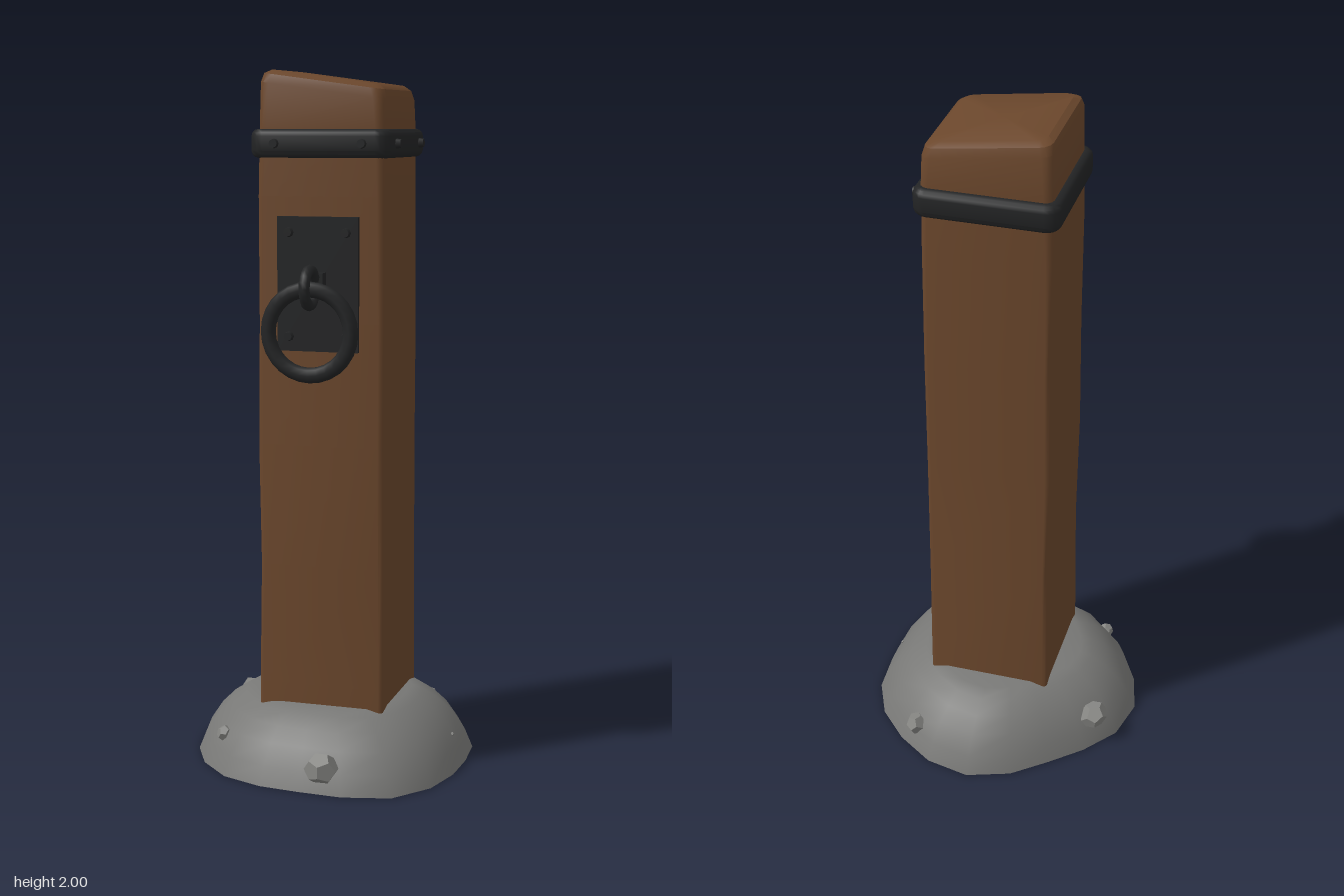
import * as THREE from 'three';
import { toCreasedNormals } from 'three/addons/utils/BufferGeometryUtils.js';

// Skin a stack of closed rings (each a list of [x, y, z]) and cap both ends
function loft(rings, crease) {
  const n = rings[0].length;
  const pos = rings.flat(2);
  const index = [];
  for (let k = 0; k < rings.length - 1; k++) {
    for (let i = 0; i < n; i++) {
      const j = (i + 1) % n;
      const a = k * n + i, b = k * n + j;
      index.push(a, a + n, b, b, a + n, b + n);
    }
  }
  const cap = (k, up) => {
    const centre = pos.length / 3;
    const sum = [0, 1, 2].map(c => rings[k].reduce((s, p) => s + p[c], 0) / n);
    pos.push(...sum);
    for (let i = 0; i < n; i++) {
      const a = k * n + i, b = k * n + (i + 1) % n;
      index.push(centre, up ? b : a, up ? a : b);
    }
  };
  cap(0, false);
  cap(rings.length - 1, true);
  const g = new THREE.BufferGeometry();
  g.setAttribute('position', new THREE.Float32BufferAttribute(pos, 3));
  g.setIndex(index);
  return toCreasedNormals(g, crease);
}

// Rounded rectangle in plan, as [x, z] pairs
function roundRect(cx, cz, hx, hz, r, steps = 3) {
  const pts = [];
  [[1, 1], [-1, 1], [-1, -1], [1, -1]].forEach(([sx, sz], q) => {
    for (let s = 0; s <= steps; s++) {
      const a = (q + s / steps) * Math.PI / 2;
      pts.push([cx + sx * (hx - r) + r * Math.cos(a), cz + sz * (hz - r) + r * Math.sin(a)]);
    }
  });
  return pts;
}

export function createModel() {
  const group = new THREE.Group();
  const material = (name, color) => {
    const m = new THREE.MeshStandardMaterial({ color });
    m.name = name;
    return m;
  };
  const wood = material('brown wood', 0x6b472c);
  const iron = material('black iron', 0x232425);
  const stone = material('grey stone', 0x787876);
  const pebble = material('light stone', 0x868683);
  pebble.flatShading = true;

  const add = (name, geometry, mat, x = 0, y = 0, z = 0) => {
    const mesh = new THREE.Mesh(geometry, mat);
    mesh.name = name;
    mesh.position.set(x, y, z);
    group.add(mesh);
    return mesh;
  };

  // Stone mound: an irregular footprint shrinking towards a flat top
  const footprint = [
    [0.017, -0.428], [0.148, -0.4], [0.26, -0.325], [0.349, -0.23], [0.4, -0.115],
    [0.408, 0.01], [0.4, 0.135], [0.365, 0.26], [0.279, 0.368], [0.143, 0.402],
    [0.017, 0.397], [-0.103, 0.386], [-0.225, 0.341], [-0.32, 0.25], [-0.38, 0.137],
    [-0.41, 0.01], [-0.38, -0.122], [-0.3, -0.224], [-0.209, -0.305], [-0.11, -0.385],
  ];
  const moundLevels = [[0, 1], [0.055, 0.945], [0.11, 0.855], [0.15, 0.755], [0.18, 0.645], [0.193, 0.56], [0.193, 0.3]];
  const mound = moundLevels.map(([y, s]) => footprint.map(([x, z]) => [x * s, y, z * s]));
  add('stoneMound', loft(mound, 0.75), stone);

  // Pebbles embedded in the mound
  [
    [0.08, 0.07, 0.382, 0.05], [0.21, 0.07, -0.322, 0.036], [-0.315, 0.095, -0.16, 0.045],
    [-0.26, 0.095, 0.245, 0.024], [0.37, 0.08, 0.02, 0.006],
  ].forEach(([x, y, z, r], i) => {
    const p = add('pebble', new THREE.DodecahedronGeometry(r), pebble, x, y, z);
    p.rotation.set(i * 0.7, i * 1.3, i * 0.4);
    p.scale.set(1, 0.92, 0.85);
  });

  // Slightly uneven wooden post with a slanting, bevelled top
  const slant = x => -0.135 * (x + 0.165);
  const levels = [
    // height, inset, corner radius, x shift, z shift
    [-0.001, 0, 0.012, 0, 0], [0.25, 0, 0.012, 0, 0], [0.6, 0.003, 0.013, 0.002, 0.001],
    [0.95, 0.001, 0.014, -0.001, 0.002], [1.3, 0.002, 0.015, 0.001, 0.001],
    [1.65, 0.002, 0.018, -0.001, 0], [1.84, 0.003, 0.025, 0, 0],
    [1.965, 0.005, 0.03, 0, 0], [1.99, 0.012, 0.032, 0, 0], [2.002, 0.03, 0.03, 0, 0],
  ];
  const post = levels.map(([y, inset, r, dx, dz], k) =>
    roundRect(0.02 + dx, 0.014 + dz, 0.185 - inset, 0.187 - inset, r)
      .map(([x, z]) => [x, k > 6 ? y + slant(x) : y, z]));
  add('post', loft(post, 0.6), wood);

  // Iron band with rounded edges
  const outline = (hx, hz, r) => roundRect(0.018, -0.01, hx, hz, r, 4).map(p => new THREE.Vector2(...p));
  const bandShape = new THREE.Shape(outline(0.183, 0.185, 0.022));
  bandShape.holes.push(new THREE.Path(outline(0.155, 0.155, 0.02).reverse()));
  const band = new THREE.ExtrudeGeometry(bandShape, {
    depth: 0.04, bevelThickness: 0.02, bevelSize: 0.02, bevelSegments: 3, steps: 1,
  });
  band.rotateX(-Math.PI / 2);
  add('band', toCreasedNormals(band, 0.7), iron, 0, 1.775, 0);

  // Rivets: two each on the front and left of the band, four on the plate
  const frontRivet = new THREE.CylinderGeometry(0.012, 0.015, 0.024, 8).rotateX(Math.PI / 2);
  const sideRivet = new THREE.CylinderGeometry(0.012, 0.015, 0.024, 8).rotateZ(-Math.PI / 2);
  for (const x of [-0.107, 0.145]) add('bandRivet', frontRivet, iron, x, 1.795, 0.216);
  for (const z of [-0.115, 0.135]) add('bandRivet', sideRivet, iron, 0.223, 1.795, z);
  for (const x of [-0.066, 0.1])
    for (const y of [1.262, 1.552]) add('plateRivet', frontRivet, iron, x, y, 0.216);

  // Backing plate, shank, eye and hanging ring
  add('plate', new THREE.BoxGeometry(0.235, 0.375, 0.02), iron, 0.017, 1.408, 0.202);
  add('shank', new THREE.BoxGeometry(0.05, 0.075, 0.045), iron, 0.017, 1.405, 0.222);
  add('eye', new THREE.TorusGeometry(0.048, 0.016, 8, 20).rotateY(Math.PI / 2), iron, 0.017, 1.405, 0.284);
  add('ring', new THREE.TorusGeometry(0.119, 0.022, 8, 28), iron, 0.016, 1.282, 0.284);

  return group;
}
